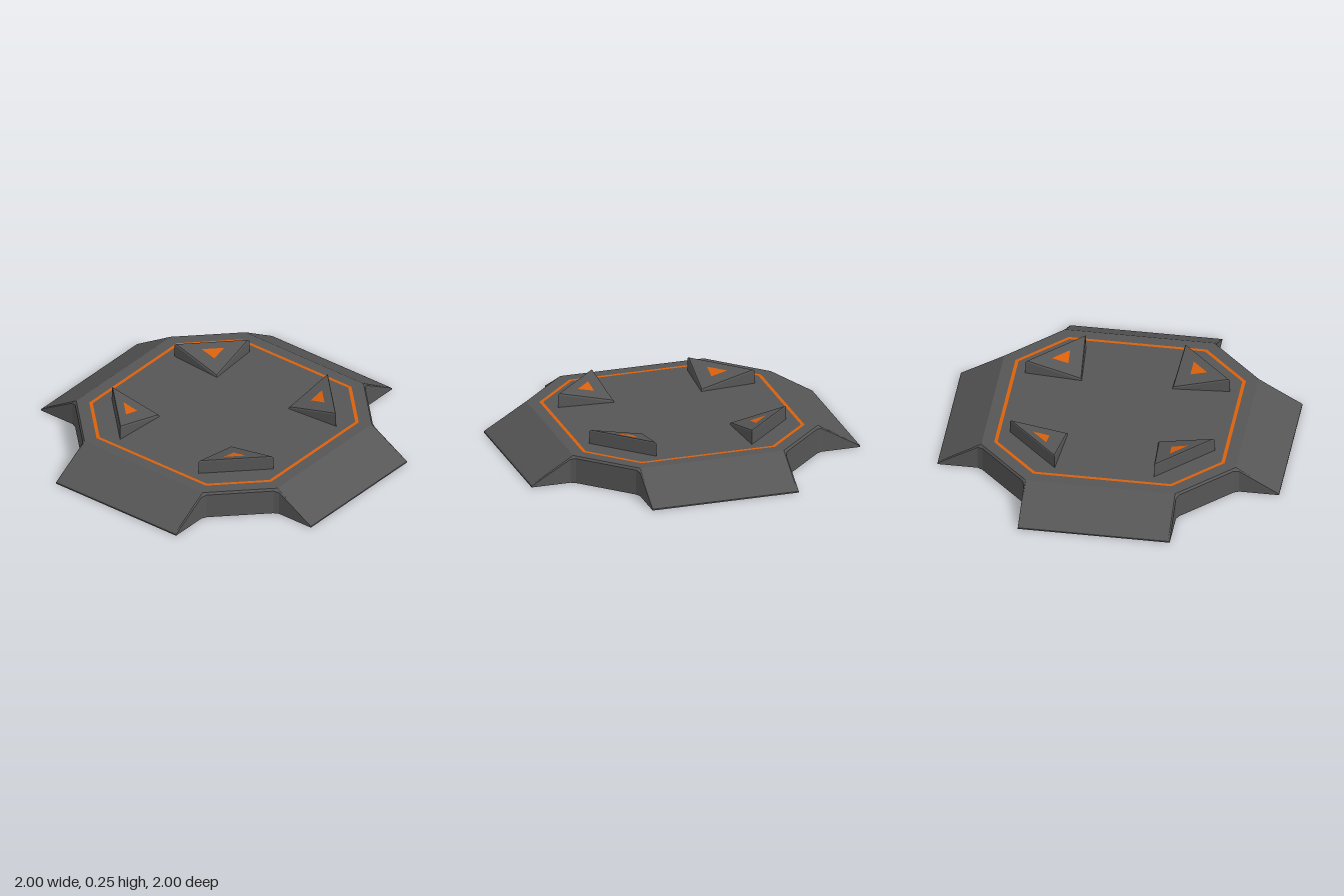
import * as THREE from 'three';

const DECK = 0.165; // height of the flat deck
const dark = new THREE.MeshStandardMaterial({ color: 0x565656, side: THREE.DoubleSide, flatShading: true });
const orange = new THREE.MeshStandardMaterial({ color: 0xd9600c, side: THREE.DoubleSide, flatShading: true });

// Turn a point [x, y, z] by q quarter turns, from +x towards +z
function turn([x, y, z], q) {
  for (let i = 0; i < q; i++) [x, z] = [-z, x];
  return [x, y, z];
}
const around = (points) => [0, 1, 2, 3].flatMap((q) => points.map((p) => turn(p, q)));
const octagon = (r, c) => around([[r, DECK, c], [c, DECK, r]]);

function mesh(name, geometry, material) {
  const m = new THREE.Mesh(geometry, material);
  m.name = name;
  return m;
}

// Geometry from four-cornered faces
function quads(list) {
  const pos = list.flatMap(([a, b, c, d]) => [a, b, c, a, c, d].flat());
  const g = new THREE.BufferGeometry();
  g.setAttribute('position', new THREE.Float32BufferAttribute(pos, 3));
  g.computeVertexNormals();
  return g;
}

// Skin joining closed loops, from the lowest to the highest
function loft(...loops) {
  const list = [];
  for (let k = 0; k < loops.length - 1; k++) {
    const a = loops[k], b = loops[k + 1], n = a.length;
    for (let i = 0; i < n; i++) list.push([a[i], b[i], b[(i + 1) % n], a[(i + 1) % n]]);
  }
  return quads(list);
}

// Upward face inside a loop, with holes; height(x, z) gives y
function panel(loop, holes = [], height = () => DECK) {
  const flat = (l) => l.map(([x, , z]) => new THREE.Vector2(x, -z));
  const shape = new THREE.Shape(flat(loop));
  shape.holes = holes.map((h) => new THREE.Path(flat(h)));
  const g = new THREE.ShapeGeometry(shape).rotateX(-Math.PI / 2);
  const p = g.attributes.position;
  for (let i = 0; i < p.count; i++) p.setY(i, height(p.getX(i), p.getZ(i)));
  g.computeVertexNormals();
  return g;
}

export function createModel() {
  const model = new THREE.Group();
  model.name = 'platform';

  // Quarter outline: ramp tip, notch corner, diagonal wall, notch corner, ramp tip
  const rim = [[1, 0.008, 0.445], [0.765, 0.145, 0.445], [0.735, 0.152, 0.46],
    [0.46, 0.152, 0.735], [0.445, 0.145, 0.765], [0.445, 0.008, 1]];
  const ground = rim.map(([x, , z]) => [x, 0, z]);
  const edge = [[0.99, 0.016, 0.437], [0.745, DECK, 0.437], [0.73, DECK, 0.452],
    [0.452, DECK, 0.73], [0.437, DECK, 0.745], [0.437, 0.016, 0.99]];
  model.add(mesh('sideWalls', loft(around(ground), around(rim), around(edge)), dark));

  // Four ramps
  const ramp = [edge[5], edge[4], turn(edge[1], 1), turn(edge[0], 1)];
  const ramps = [0, 1, 2, 3].map((q) => ramp.map((p) => turn(p, q)));
  model.add(mesh('ramps', quads(ramps), dark));

  // Deck: outer border, inlaid stripe and middle panel, open beneath the wedges
  const outer = octagon(0.675, 0.405), inner = octagon(0.655, 0.397);
  const foot = [[0.6, DECK, 0.29], [0.29, DECK, 0.6], [0.265, DECK, 0.265]];
  const feet = [0, 1, 2, 3].map((q) => foot.map((p) => turn(p, q)));
  model.add(mesh('deckBorder', panel(around(edge.slice(1, 5)), [outer]), dark));
  model.add(mesh('deckStripe', panel(outer, [inner]), orange));
  model.add(mesh('deckPanel', panel(inner, feet), dark));

  // Wedges: tall on the outside, falling to a point towards the middle
  const slope = (x, z) => 0.25 - (0.89 - x - z) * 0.21;
  const inset = (k, drop) => foot.map(([x, , z]) => {
    const nx = 0.385 + (x - 0.385) * k, nz = 0.385 + (z - 0.385) * k;
    return [nx, slope(nx, nz) - drop, nz];
  });
  const shoulder = inset(0.99, 0.007), top = inset(0.95, 0);
  const light = [[0.455, 0, 0.362], [0.362, 0, 0.455], [0.357, 0, 0.357]];
  for (let q = 0; q < 4; q++) {
    const wedge = new THREE.Group();
    wedge.name = 'wedge' + (q + 1);
    wedge.add(
      mesh('wedgeSides', loft(foot, shoulder, top), dark),
      mesh('wedgeTop', panel(top, [light], slope), dark),
      mesh('wedgeLight', panel(light, [], slope), orange),
    );
    wedge.rotation.y = (q * Math.PI) / 2;
    model.add(wedge);
  }
  return model;
}
